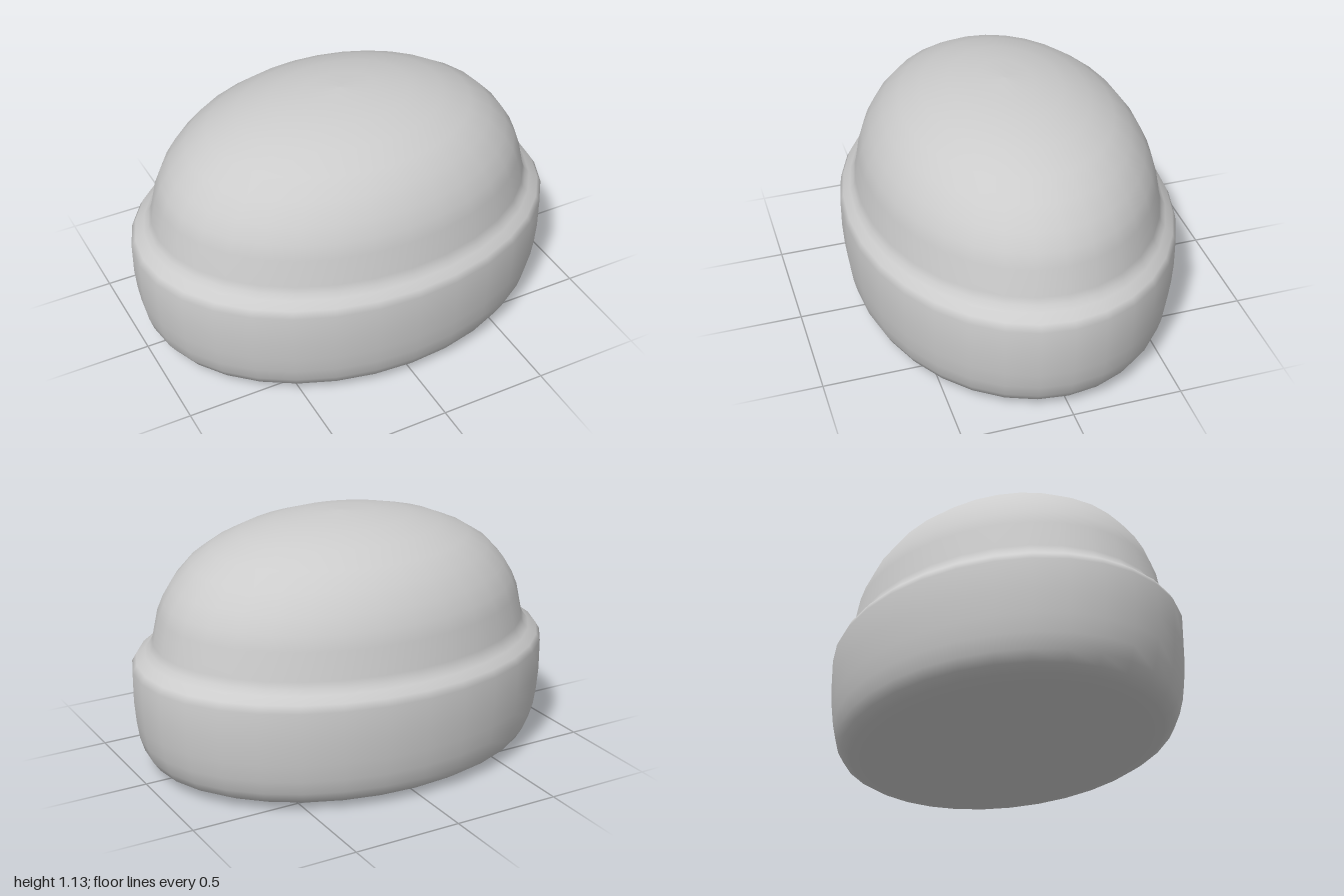
import * as THREE from 'three';

export function createModel() {
  const group = new THREE.Group();
  const material = new THREE.MeshStandardMaterial({ color: 0xcccccc });

  // Outline from the centre of the base up to the crown: [radius, height]
  const profile = [
    // flat underside and rounded lower edge
    [0, 0], [0.6, 0.004], [0.8, 0.01], [0.88, 0.024], [0.93, 0.05], [0.96, 0.095],
    // upright band with a soft shoulder
    [0.98, 0.16], [0.992, 0.24], [1, 0.34], [1, 0.48], [0.98, 0.512], [0.937, 0.54],
    // groove and dome
    [0.915, 0.562], [0.9, 0.592], [0.873, 0.715], [0.845, 0.78], [0.8, 0.852], [0.72, 0.937],
    [0.62, 1.0], [0.487, 1.057], [0.332, 1.097], [0.166, 1.12], [0, 1.127],
  ].map(([r, y]) => new THREE.Vector2(r, y));

  // Turned body, squeezed front to back into an oval
  const geometry = new THREE.LatheGeometry(profile, 32);
  geometry.scale(1, 1, 0.755);

  const body = new THREE.Mesh(geometry, material);
  body.name = 'domedBody';
  group.add(body);
  return group;
}
